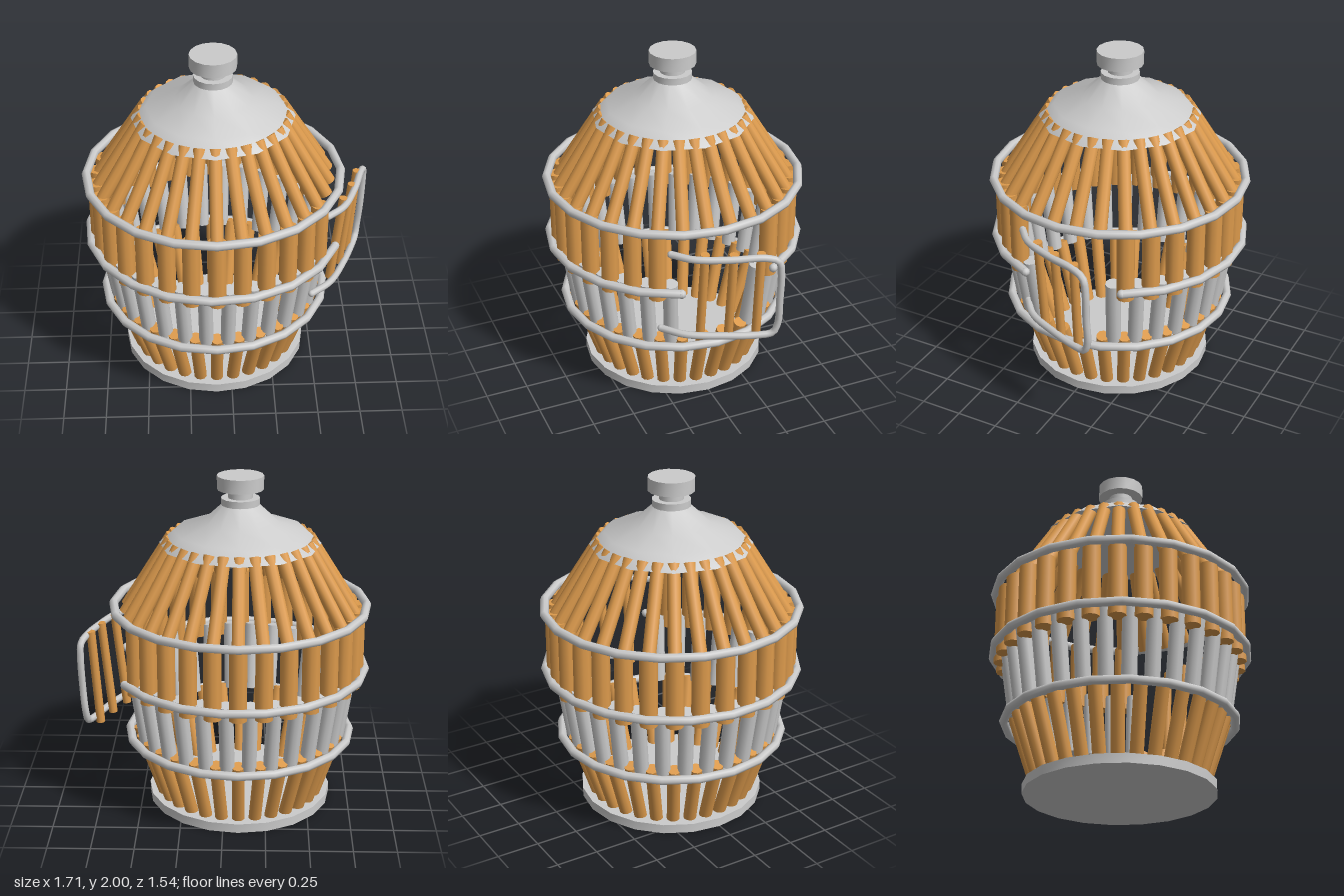
import * as THREE from 'three';
import { toCreasedNormals } from 'three/addons/utils/BufferGeometryUtils.js';

const DEG = Math.PI / 180;
const UP = new THREE.Vector3(0, 1, 0);

export function createModel() {
  const model = new THREE.Group();
  model.name = 'birdcage';
  const grey = new THREE.MeshStandardMaterial({ color: 0xcccccc });
  const orange = new THREE.MeshStandardMaterial({ color: 0xdc9a4c });

  // The cage body sits off centre because the door swings out at +x
  const cage = new THREE.Group();
  cage.name = 'cage';
  cage.position.x = -0.09;
  model.add(cage);

  function add(parent, name, geometry, material) {
    const mesh = new THREE.Mesh(geometry, material);
    mesh.name = name;
    parent.add(mesh);
    return mesh;
  }

  // Round bar between two points
  function bar(parent, name, a, b, radius, material) {
    const dir = b.clone().sub(a);
    const mesh = add(parent, name, new THREE.CylinderGeometry(radius, radius, dir.length(), 10), material);
    mesh.position.copy(a).add(b).multiplyScalar(0.5);
    mesh.quaternion.setFromUnitVectors(UP, dir.normalize());
  }

  // Circle of 30 bars, leaving out those within `gap` degrees of +x
  function barRow(name, [r0, y0], [r1, y1], radius, material, phase, gap = -1) {
    const row = new THREE.Group();
    row.name = name;
    cage.add(row);
    for (let i = 0; i < 30; i++) {
      const deg = -180 + phase + i * 12;
      if (Math.abs(deg) < gap) continue;
      const c = Math.cos(deg * DEG), s = Math.sin(deg * DEG);
      bar(row, name + 'Bar', new THREE.Vector3(r0 * c, y0, r0 * s),
        new THREE.Vector3(r1 * c, y1, r1 * s), radius, material);
    }
  }

  barRow('lowerBars', [0.465, 0.04], [0.605, 0.46], 0.038, orange, 6);
  barRow('middleBars', [0.595, 0.44], [0.66, 0.86], 0.044, grey, 0, 20);
  barRow('upperBars', [0.685, 0.785], [0.685, 1.21], 0.052, orange, 6, 25);
  barRow('roofBars', [0.675, 1.19], [0.40, 1.63], 0.038, orange, 6);

  // Hoops around the cage; the middle one is open at the doorway
  function hoop(name, radius, y, start = 0, arc = 360) {
    const geo = new THREE.TorusGeometry(radius, 0.026, 8, Math.round(arc / 18), arc * DEG);
    geo.rotateX(Math.PI / 2).rotateY(-start * DEG);
    add(cage, name, geo, grey).position.y = y;
  }
  hoop('lowerHoop', 0.665, 0.425);
  hoop('middleHoop', 0.745, 0.845, 19, 313);
  hoop('upperHoop', 0.745, 1.225);
  for (const deg of [19, -28]) {
    add(cage, 'hoopEnd', new THREE.SphereGeometry(0.026, 8, 6), grey)
      .position.set(0.745 * Math.cos(deg * DEG), 0.845, 0.745 * Math.sin(deg * DEG));
  }

  // Base plate
  add(cage, 'base', toCreasedNormals(new THREE.CylinderGeometry(0.55, 0.55, 0.055, 20), 0.6), grey)
    .position.y = 0.0275;

  // Roof cap
  const roof = [[0, 1.6], [0.47, 1.6], [0.385, 1.675], [0.225, 1.725], [0.105, 1.835], [0, 1.835]]
    .map(p => new THREE.Vector2(...p));
  add(cage, 'roof', toCreasedNormals(new THREE.LatheGeometry(roof, 12), 0.55), grey);

  // Collar, neck and knob
  for (const [name, r, y0, y1] of [
    ['collar', 0.112, 1.83, 1.87], ['neck', 0.072, 1.87, 1.92], ['knob', 0.135, 1.92, 2.0]]) {
    add(cage, name, toCreasedNormals(new THREE.CylinderGeometry(r, r, y1 - y0, 16), 0.6), grey)
      .position.y = (y0 + y1) / 2;
  }

  // Door: a bent wire frame with three thin bars
  const door = new THREE.Group();
  door.name = 'door';
  model.add(door);
  const frame = [
    [0.56, 1.085, 0.285], [0.66, 1.085, 0.19], [0.745, 1.085, 0], [0.8, 1.085, -0.18],
    [0.825, 1.06, -0.25], [0.828, 0.98, -0.265], [0.822, 0.8, -0.265], [0.81, 0.64, -0.265],
    [0.8, 0.575, -0.24], [0.775, 0.56, -0.17], [0.7, 0.557, 0.02], [0.6, 0.553, 0.21], [0.48, 0.55, 0.315],
  ].map(p => new THREE.Vector3(...p));
  add(door, 'doorFrame', new THREE.TubeGeometry(new THREE.CatmullRomCurve3(frame), 60, 0.021, 8), grey);
  for (const end of [frame[0], frame[frame.length - 1]]) {
    add(door, 'doorFrameEnd', new THREE.SphereGeometry(0.021, 8, 6), grey).position.copy(end);
  }
  for (const [z, x0, x1] of [[0.125, 0.605, 0.665], [-0.02, 0.675, 0.73], [-0.165, 0.735, 0.775]]) {
    bar(door, 'doorBar', new THREE.Vector3(x0, 0.53, z), new THREE.Vector3(x1, 1.105, z), 0.026, orange);
  }

  return model;
}
